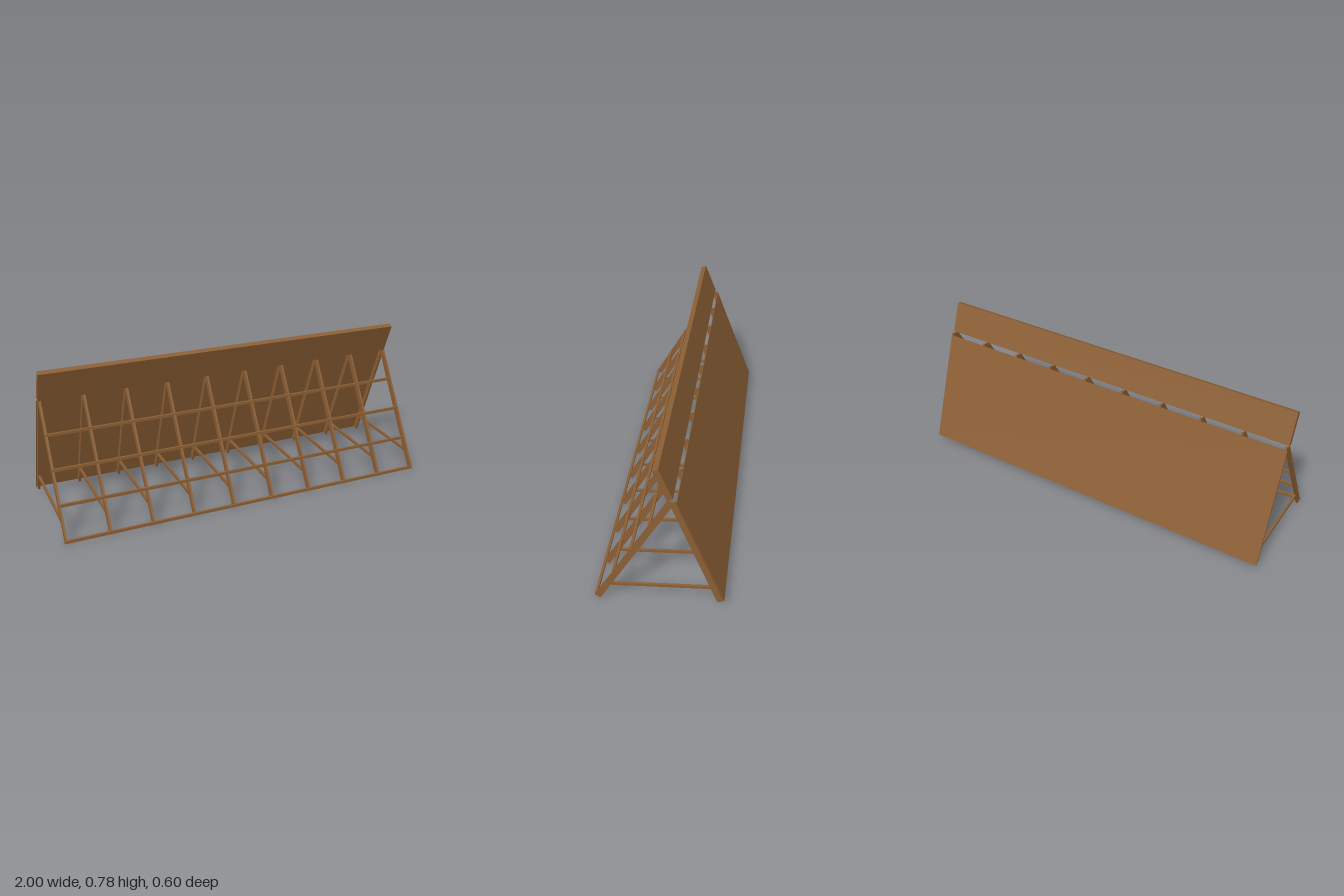
import * as THREE from 'three';

export function createModel() {
  const model = new THREE.Group();
  const wood = new THREE.MeshStandardMaterial({ color: 0x8b5e34 });
  wood.name = 'brown wood';

  // A beam whose side profile runs from a to b, both given as [z, y]
  function beam(parent, name, a, b, depth, x, width) {
    const dz = b[0] - a[0], dy = b[1] - a[1];
    const mesh = new THREE.Mesh(new THREE.BoxGeometry(width, Math.hypot(dz, dy), depth), wood);
    mesh.position.set(x, (a[1] + b[1]) / 2, (a[0] + b[0]) / 2);
    mesh.rotation.x = Math.atan2(dz, dy);
    mesh.name = name;
    parent.add(mesh);
  }

  // Ten A-shaped frames
  const count = 10, first = -0.99, last = 0.994, thick = 0.011;
  for (let i = 0; i < count; i++) {
    const frame = new THREE.Group();
    frame.name = 'frame' + (i + 1);
    const x = first + (last - first) * i / (count - 1);
    beam(frame, 'frontRafter', [0.287, 0.0085], [-0.061, 0.611], 0.03, x, thick);
    beam(frame, 'backRafter', [-0.282, 0.043], [-0.066, 0.611], 0.028, x, thick);
    beam(frame, 'crossBrace', [0.225, 0.097], [-0.245, 0.127], 0.014, x, thick);
    model.add(frame);
  }

  // Long battens across the front rafters
  const span = 1.993, middle = -0.0035;
  [[0.295, 0.017], [0.2085, 0.167], [0.1225, 0.316], [0.0365, 0.465]].forEach(([z, y]) => {
    beam(model, 'batten', [z, y - 0.007], [z, y + 0.007], 0.012, middle, span);
  });

  // Thin board on the back rafters and thick board along the ridge
  beam(model, 'backBoard', [-0.2985, 0.043], [-0.083, 0.604], 0.004, middle, span);
  beam(model, 'ridgeBoard', [-0.056, 0.62], [0.005, 0.773], 0.028, middle, span);

  return model;
}
